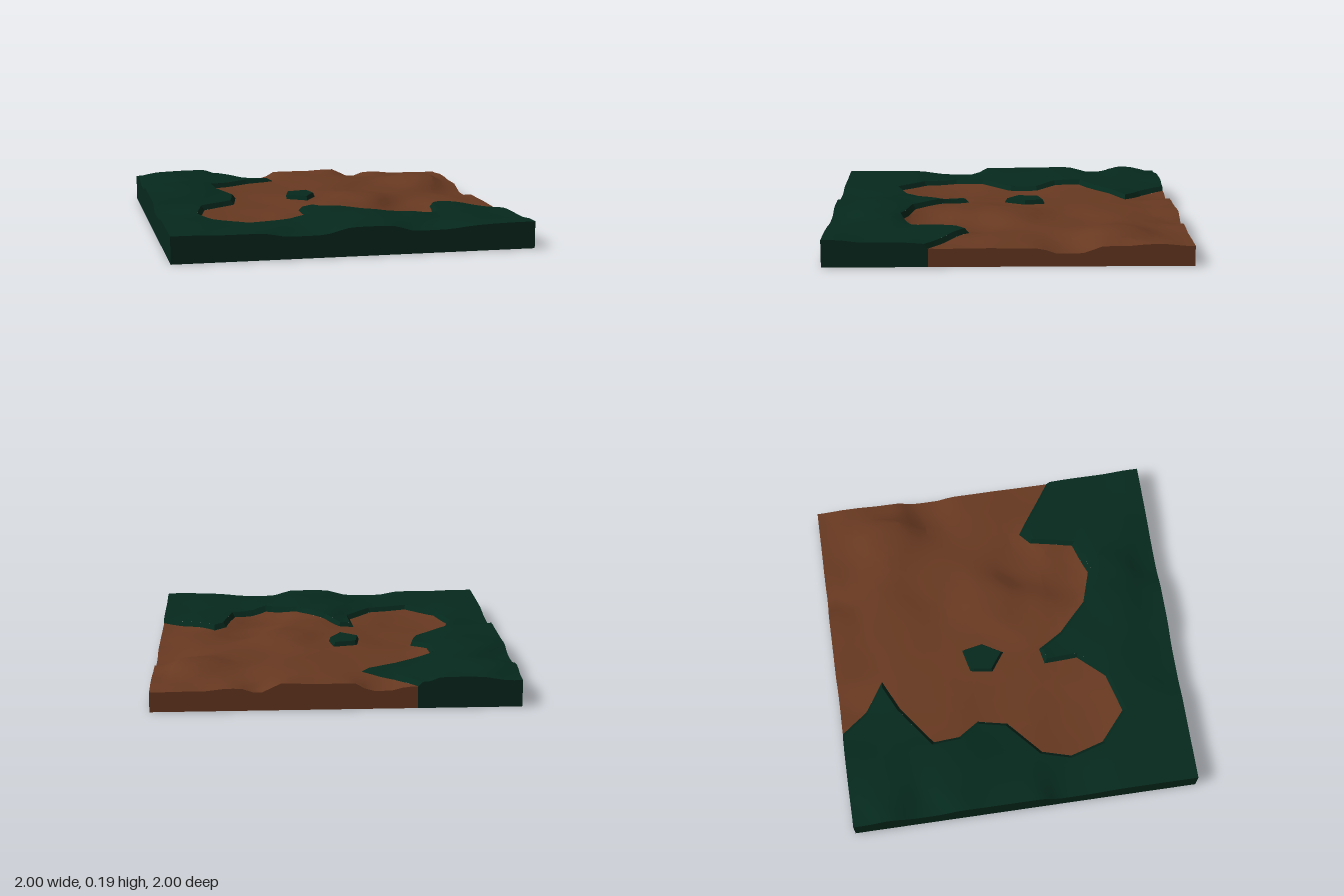
import * as THREE from 'three';
import { mergeVertices } from 'three/addons/utils/BufferGeometryUtils.js';

const LIFT = 0.025;    // thickness of the grass layer
const CELLS = 20;      // terrain grid cells on each side of the centre
const STEP = 1 / CELLS;

// Ground relief, as x, z, height
const hills = [
  [-1, 1, .125], [-.6, 1, .12], [-.3, 1, .097], [.1, 1, .135], [.4, 1, .1], [1, 1, .125],
  [-.95, .7, .125], [-.5, .8, .115], [.15, .7, .157], [.35, .7, .142], [.6, .75, .125], [1, .7, .11],
  [0, .5, .145], [-1, .23, .1], [-1, .05, .145], [-1, -.2, .145], [-.85, -.4, .165], [-1, -.57, .117],
  [-.85, -.8, .165], [-1, -1, .123], [-.6, -1, .148], [-.45, -1, .122], [-.23, -1, .1], [-.05, -1, .145],
  [.29, -1, .15], [.41, -1, .1], [.55, -1, .125], [.75, -1, .112], [1, -1, .11],
  [1, -.8, .12], [1, -.6, .11], [1, -.32, .07], [1, -.1, .1], [1, .3, .1],
  [-.3, -.5, .13], [-.4, 0, .112], [-.5, .35, .1], [-.2, .4, .11], [-.05, -.1, .128],
  [.25, 0, .155], [.15, .2, .14], [.5, .2, .09], [.4, .45, .095], [.75, 0, .115],
  [.8, -.6, .162], [.45, -.35, .12], [.2, -.65, .142], [.65, .35, .12],
];

function ground(x, z) {
  let sum = 0, total = 0;
  for (const [hx, hz, h] of hills) {
    const w = 1 / ((x - hx) ** 2 + (z - hz) ** 2 + 0.002) ** 2;
    sum += w * h;
    total += w;
  }
  return sum / total;
}
const grassTop = (x, z) => ground(x, z) + LIFT;

// Border between grass and earth, from the back edge to the right edge
const border = [
  [-.435, -1], [-.32, -.85], [-.15, -.735], [-.33, -.65], [-.565, -.48], [-.555, -.33], [-.472, -.21], [-.507, -.04],
  [-.707, .135], [-.752, .3], [-.695, .495], [-.525, .642], [-.3, .58], [-.16, .43], [-.17, .235], [-.08, .215],
  [.005, .36], [.175, .525], [.365, .585], [.56, .52], [.61, .27], [.68, .21], [1, .43],
];
const island = [[-.155, -.21], [-.025, -.24], [0, -.12], [-.07, 0], [-.18, -.08], [-.165, -.19]];

// Move a line sideways into the grass
function inset(line, d, closed) {
  const n = line.length;
  const normal = (a, b) => {
    const dx = b[0] - a[0], dz = b[1] - a[1], l = Math.hypot(dx, dz);
    return [-dz / l, dx / l];
  };
  return line.map((p, i) => {
    const prev = closed || i > 0 ? normal(line[(i + n - 1) % n], p) : null;
    const next = closed || i < n - 1 ? normal(p, line[(i + 1) % n]) : null;
    const a = prev || next, b = next || prev;
    const k = d / Math.max(0.4, 1 + a[0] * b[0] + a[1] * b[1]);
    return [p[0] + k * (a[0] + b[0]), p[1] + k * (a[1] + b[1])];
  });
}

// Cut a convex polygon, keeping the side where sign * (p[axis] - limit) >= 0
function cut(poly, axis, limit, sign) {
  const out = [];
  poly.forEach((p, i) => {
    const q = poly[(i + 1) % poly.length];
    const a = sign * (p[axis] - limit), b = sign * (q[axis] - limit);
    if (a >= 0) out.push(p);
    if ((a > 0 && b < 0) || (a < 0 && b > 0)) {
      const t = a / (a - b);
      out.push([p[0] + t * (q[0] - p[0]), p[1] + t * (q[1] - p[1])]);
    }
  });
  return out;
}

function geometryFrom(positions) {
  const g = new THREE.BufferGeometry();
  g.setAttribute('position', new THREE.Float32BufferAttribute(positions, 3));
  return g;
}

// Smooth sheet over an outline, divided along a grid and raised by height(x, z)
function sheet(outline, holes, height) {
  const toV = (l) => l.map((p) => new THREE.Vector2(p[0], p[1]));
  const points = [outline, ...holes].flat();
  const positions = [];
  for (const face of THREE.ShapeUtils.triangulateShape(toV(outline), holes.map(toV))) {
    const tri = face.map((i) => points[i]);
    for (let i = -CELLS; i < CELLS; i++) {
      const strip = cut(cut(tri, 0, i * STEP, 1), 0, (i + 1) * STEP, -1);
      if (strip.length < 3) continue;
      for (let j = -CELLS; j < CELLS; j++) {
        const cell = cut(cut(strip, 1, j * STEP, 1), 1, (j + 1) * STEP, -1);
        for (let k = 1; k < cell.length - 1; k++) {
          let [a, b, c] = [cell[0], cell[k], cell[k + 1]];
          const area = (b[0] - a[0]) * (c[1] - a[1]) - (b[1] - a[1]) * (c[0] - a[0]);
          if (Math.abs(area) < 1e-9) continue;
          if (area > 0) [b, c] = [c, b]; // face upwards
          for (const p of [a, b, c]) positions.push(p[0], height(p[0], p[1]), p[1]);
        }
      }
    }
  }
  const g = mergeVertices(geometryFrom(positions), 1e-4);
  g.computeVertexNormals();
  return g;
}

// Flat-sided band between two rows of 3D points
function band(low, high) {
  const positions = [];
  for (let i = 0; i < low.length - 1; i++) {
    positions.push(...low[i], ...low[i + 1], ...high[i + 1], ...low[i], ...high[i + 1], ...high[i]);
  }
  const g = geometryFrom(positions);
  g.computeVertexNormals();
  return g;
}

// Row of points along a line, closely spaced and raised by height(x, z)
function row(line, height) {
  const out = [];
  for (let i = 0; i < line.length - 1; i++) {
    const [a, b] = [line[i], line[i + 1]];
    for (let k = i ? 1 : 0; k <= 8; k++) {
      const x = a[0] + (b[0] - a[0]) * k / 8, z = a[1] + (b[1] - a[1]) * k / 8;
      out.push([x, height(x, z), z]);
    }
  }
  return out;
}

// Upright wall from y = 0 to the terrain, ending at ground level if a foot is given
function wall(from, to, height, foot) {
  const axis = from[0] === to[0] ? 1 : 0;
  const stops = [0, 1];
  for (let i = 1 - CELLS; i < CELLS; i++) {
    const t = (i * STEP - from[axis]) / (to[axis] - from[axis]);
    if (t > 0.001 && t < 0.999) stops.push(t);
  }
  stops.sort((a, b) => a - b);
  const top = stops.map((t) => {
    const x = from[0] + t * (to[0] - from[0]), z = from[1] + t * (to[1] - from[1]);
    return [x, height(x, z), z];
  });
  if (foot) top.push([foot[0], ground(...foot), foot[1]]);
  return band(top.map(([x, , z]) => [x, 0, z]), top);
}

export function createModel() {
  const model = new THREE.Group();
  model.name = 'terrainTile';
  const material = (name, color) => new THREE.MeshStandardMaterial({ name, color, side: THREE.DoubleSide });
  const grass = material('grassGreen', 0x06291d);
  const earth = material('earthBrown', 0x683921);
  const add = (name, geometry, mat) => {
    const mesh = new THREE.Mesh(geometry, mat);
    mesh.name = name;
    model.add(mesh);
  };

  // The top edge of the grass is set back from the border
  const rim = inset(border, 0.02, false);
  const first = border[0], last = border[border.length - 1];
  const start = rim[0] = [first[0] - 0.025, -1];
  const end = rim[rim.length - 1] = [1, last[1] + 0.02];
  const islandRim = inset(island, 0.01, true);

  // Terrain surfaces
  add('earthGround', sheet([...border, [1, -1]], [island], ground), earth);
  add('grassGround', sheet([...rim, [1, 1], [-1, 1], [-1, -1]], [], grassTop), grass);
  add('grassIsland', sheet(islandRim, [], grassTop), grass);

  // Sloping lips where the grass meets the earth
  const lip = (low, high) => band(row(low, ground).reverse(), row(high, grassTop).reverse());
  const close = (line) => [...line, line[0]];
  add('grassLip', lip(border, rim), grass);
  add('islandLip', lip(close(island), close(islandRim)), grass);

  // Outer walls, open underneath
  add('frontWall', wall([-1, 1], [1, 1], grassTop), grass);
  add('sideGrassWall', wall([-1, -1], [-1, 1], grassTop), grass);
  add('cornerGrassWall', wall([1, 1], end, grassTop, last), grass);
  add('sideEarthWall', wall(last, [1, -1], ground), earth);
  add('backEarthWall', wall([1, -1], first, ground), earth);
  add('backGrassWall', wall(start, [-1, -1], grassTop), grass);
  add('backLipWall', band(
    [[first[0], 0, -1], [start[0], 0, -1]],
    [[first[0], ground(...first), -1], [start[0], grassTop(...start), -1]]), grass);
  return model;
}
